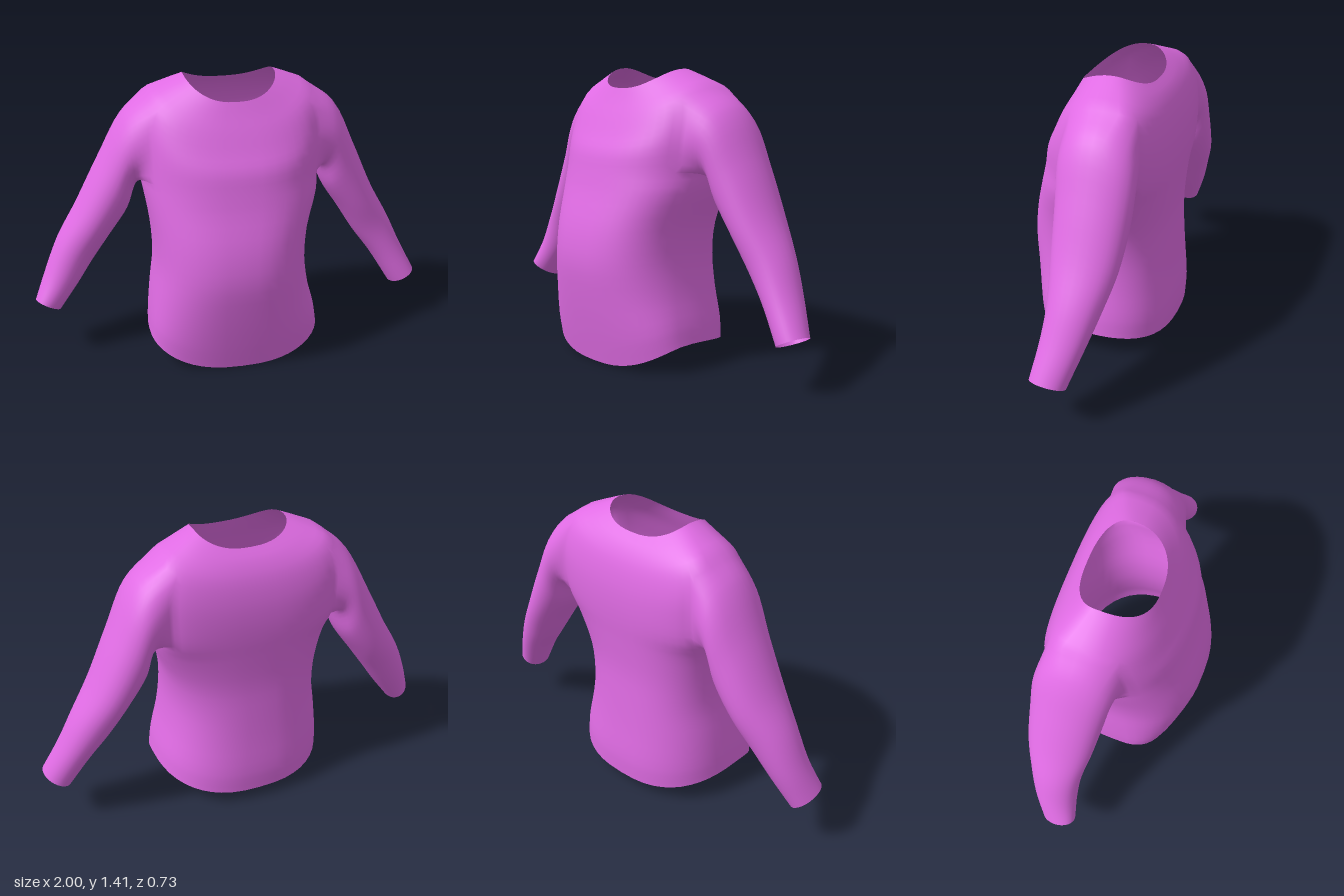
import * as THREE from 'three';

const COLS = 48, SEG = 3, HALF = 4;      // torso columns, rows per key ring, armhole half width
const HOLE_LOW = 6, HOLE_HIGH = 9;       // key rings bounding the armholes

// Torso rings, hem to neck: centre x, half width, side y, side z,
// then y, z and roundness (low is boxier) of the front and of the back
const torsoKeys = [
  [-0.02, 0.43, 0.13, 0.03, [0.0, 0.285, 0.8], [0.06, -0.36, 1]],
  [-0.025, 0.42, 0.22, 0.02, [0.14, 0.315, 0.8], [0.17, -0.363, 1]],
  [-0.035, 0.395, 0.36, 0.01, [0.33, 0.35, 0.95], [0.34, -0.348, 1]],
  [-0.035, 0.375, 0.52, 0.0, [0.5, 0.37, 1], [0.5, -0.337, 1]],
  [-0.03, 0.385, 0.68, -0.02, [0.66, 0.352, 1], [0.66, -0.33, 0.95]],
  [-0.015, 0.425, 0.85, -0.06, [0.83, 0.303, 1], [0.83, -0.34, 0.85]],
  [-0.015, 0.44, 0.95, -0.11, [0.93, 0.28, 1], [0.93, -0.348, 0.6]],
  [-0.01, 0.445, 1.1, -0.12, [1.02, 0.26, 1], [1.03, -0.35, 0.5]],
  [-0.01, 0.44, 1.23, -0.12, [1.1, 0.22, 1], [1.13, -0.342, 0.5]],
  [-0.01, 0.405, 1.325, -0.12, [1.19, 0.178, 1], [1.23, -0.318, 0.6]],
  [-0.01, 0.315, 1.373, -0.11, [1.26, 0.143, 1], [1.3, -0.28, 0.8]],
  [-0.01, 0.22, 1.413, -0.095, [1.32, 0.115, 1], [1.348, -0.235, 1]],
];

// Sleeve rings, shoulder to cuff: outer x, y, inner x, y, front z, back z, lift of the front edge
const leftKeys = [
  [0.525, 1.225, 0.45, 0.89, 0.06, -0.315, 0],
  [0.64, 1.0, 0.49, 0.78, 0.038, -0.316, 0],
  [0.75, 0.76, 0.575, 0.65, 0.015, -0.3, 0],
  [0.85, 0.58, 0.67, 0.5, -0.01, -0.26, 0],
  [0.92, 0.43, 0.765, 0.37, -0.01, -0.22, 0],
  [1.0, 0.27, 0.87, 0.2, 0.005, -0.165, 0.015],
];
const rightKeys = [
  [-0.525, 1.225, -0.475, 0.88, 0.06, -0.315, 0],
  [-0.65, 1.0, -0.515, 0.755, 0.038, -0.316, 0],
  [-0.77, 0.77, -0.605, 0.62, 0.015, -0.3, 0],
  [-0.87, 0.6, -0.695, 0.49, -0.01, -0.26, 0],
  [-0.94, 0.44, -0.785, 0.36, -0.01, -0.22, 0],
  [-1.0, 0.3, -0.88, 0.235, 0.005, -0.165, 0.05],
];

const softPow = (v) => Math.sign(v) * Math.abs(v) ** 0.8;

function torsoRing([cx, w, ys, zs, front, back]) {
  return Array.from({ length: COLS }, (_, j) => {
    const a = (j / COLS) * Math.PI * 2;
    const c = softPow(Math.cos(a)), s = softPow(Math.sin(a)), t = Math.abs(s);
    const [y, z, round] = s > 0 ? front : back;
    return new THREE.Vector3(cx + w * c, ys + (y - ys) * t * t, zs + (z - zs) * t ** round);
  });
}

function sleeveRing([ox, oy, ix, iy, zf, zb, lift], angles) {
  return angles.map((a) => {
    const s = Math.sin(a) / 2, c = Math.cos(a) / 2;
    return new THREE.Vector3((ox + ix) / 2 + (ox - ix) * s,
      (oy + iy) / 2 + (oy - iy) * s + lift * c, (zf + zb) / 2 + (zf - zb) * c);
  });
}

// Smooth rows of points running through the key rings
function loft(rings, steps) {
  const curves = rings[0].map((_, j) => new THREE.CatmullRomCurve3(rings.map((r) => r[j])));
  const rows = (rings.length - 1) * steps;
  return Array.from({ length: rows + 1 }, (_, i) => curves.map((c) => c.getPoint(i / rows)));
}

export function createModel() {
  const positions = [];
  const addRow = (row) => row.map((p) => positions.push(p.x, p.y, p.z) / 3 - 1);

  // Two triangles per cell between neighbouring rows of vertex numbers
  function skin(rows, flip, skip = () => false) {
    const index = [];
    for (let i = 0; i < rows.length - 1; i++) {
      const n = rows[i].length;
      for (let j = 0; j < n; j++) {
        if (skip(i, j)) continue;
        const k = (j + 1) % n;
        const a = rows[i][j], b = rows[i + 1][j], c = rows[i + 1][k], d = rows[i][k];
        index.push(...(flip ? [a, c, b, a, d, c] : [a, b, c, a, c, d]));
      }
    }
    return index;
  }

  // Torso with an armhole left open on each side
  const low = HOLE_LOW * SEG, high = HOLE_HIGH * SEG;
  const points = loft(torsoKeys.map(torsoRing), SEG);
  const torsoRows = points.map(addRow);
  const inArmhole = (i, j) => {
    const column = (j + 0.5) % (COLS / 2);
    return i >= low && i < high && Math.min(column, COLS / 2 - column) < HALF;
  };
  const parts = { torso: skin(torsoRows, false, inArmhole) };

  // Armhole outline as [row, column], starting low at the back
  const outline = [];
  for (let c = -HALF; c < HALF; c++) outline.push([low, c]);
  for (let r = low; r < high; r++) outline.push([r, HALF]);
  for (let c = HALF; c > -HALF; c--) outline.push([high, c]);
  for (let r = high; r > low; r--) outline.push([r, -HALF]);
  const middle = (low + high) / 2;
  const angles = outline.map(([r, c]) => Math.atan2((r - middle) / (high - middle), c / HALF));

  // Sleeves grow out of the armhole edges
  for (const [name, side, keys] of [['leftSleeve', 1, leftKeys], ['rightSleeve', -1, rightKeys]]) {
    const column = (c) => (side > 0 ? c + COLS : COLS / 2 - c) % COLS;
    const edge = outline.map(([r, c]) => points[r][column(c)]);
    const rows = loft([edge, ...keys.map((k) => sleeveRing(k, angles))], 5).slice(1).map(addRow);
    rows.unshift(outline.map(([r, c]) => torsoRows[r][column(c)]));
    parts[name] = skin(rows, side < 0);
  }

  // Normals are worked out across all parts so the seams stay smooth
  const whole = new THREE.BufferGeometry();
  whole.setAttribute('position', new THREE.Float32BufferAttribute(positions, 3));
  whole.setIndex(Object.values(parts).flat());
  whole.computeVertexNormals();

  const material = new THREE.MeshStandardMaterial({ color: 0xe06ce4, side: THREE.DoubleSide });
  const shirt = new THREE.Group();
  shirt.name = 'shirt';
  for (const [name, index] of Object.entries(parts)) {
    const geometry = new THREE.BufferGeometry();
    geometry.setAttribute('position', whole.getAttribute('position'));
    geometry.setAttribute('normal', whole.getAttribute('normal'));
    geometry.setIndex(index);
    const mesh = new THREE.Mesh(geometry, material);
    mesh.name = name;
    shirt.add(mesh);
  }
  return shirt;
}
